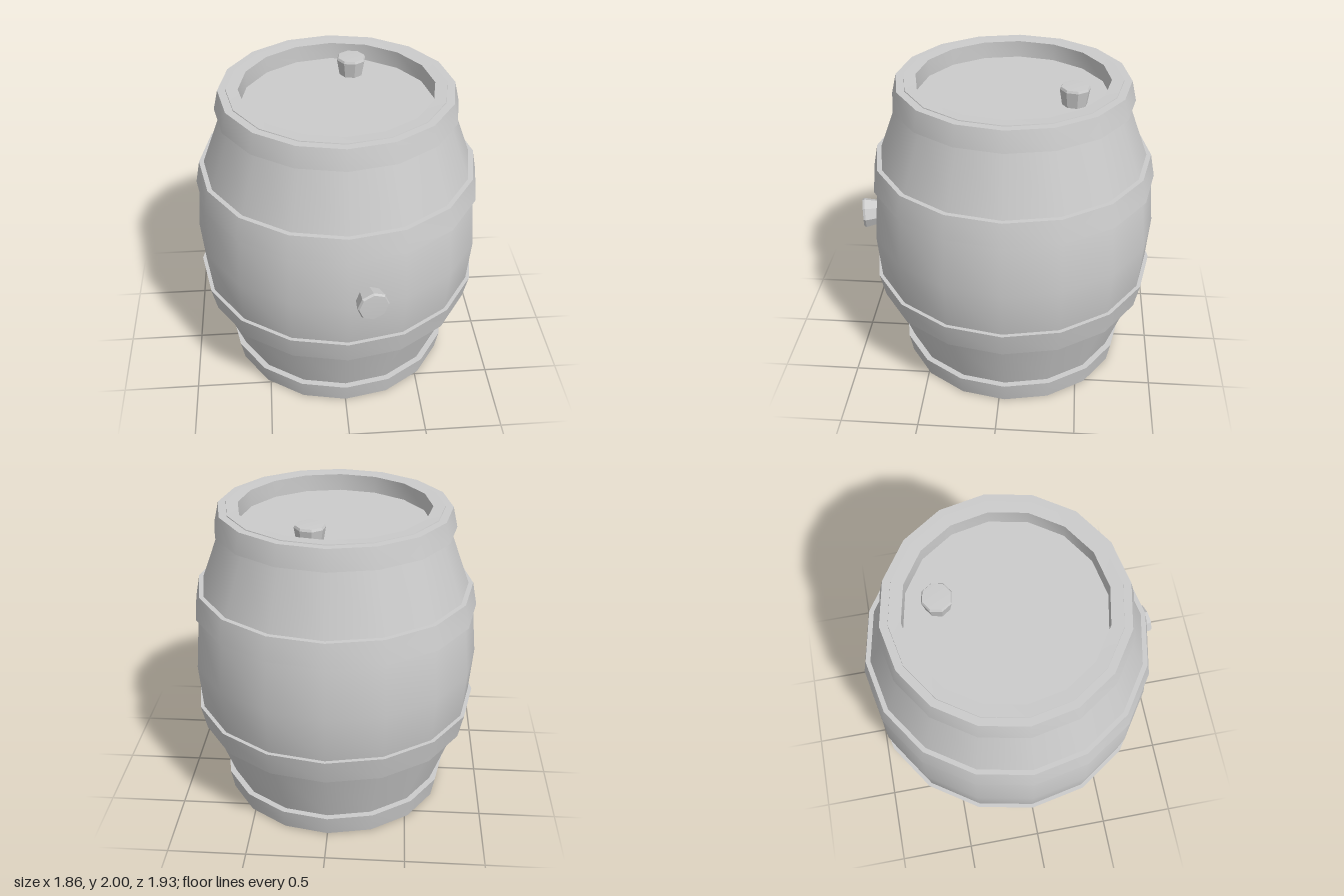
import * as THREE from 'three';
import { toCreasedNormals } from 'three/addons/utils/BufferGeometryUtils.js';

const material = new THREE.MeshStandardMaterial({ color: 0xcccccc });

// Revolve [radius, y] points listed counter-clockwise (up along the outside)
function turned(name, points, sides) {
  const profile = points.map(([r, y]) => new THREE.Vector2(r, y));
  const geometry = toCreasedNormals(new THREE.LatheGeometry(profile, sides), 0.6);
  const mesh = new THREE.Mesh(geometry, material);
  mesh.name = name;
  return mesh;
}

// Tapered stopper with a slightly domed face, its face centre at the origin
function bung(name, radius, length) {
  return turned(name, [
    [0, -length], [radius * 0.8, -length], [radius, -0.018], [radius * 0.92, -0.004], [0, 0],
  ], 8);
}

export function createModel() {
  const model = new THREE.Group();
  model.name = 'barrel';

  const cask = new THREE.Group();
  cask.name = 'cask';
  cask.position.z = -0.037;
  model.add(cask);

  // Bulging staves with a recessed head at each end
  cask.add(turned('staves', [
    [0, 0.11], [0.605, 0.11], [0.605, 0.003], [0.68, 0],
    [0.72, 0.14], [0.86, 0.535], [0.905, 0.7], [0.928, 1.0],
    [0.895, 1.33], [0.855, 1.485], [0.715, 1.86],
    [0.68, 1.993], [0.605, 1.99], [0.605, 1.88], [0, 1.88],
  ], 16));

  // Hoops: bottom y, bottom radius, top y, top radius
  const hoops = [
    ['bottomHoop', 0.005, 0.735, 0.14, 0.76],
    ['lowerHoop', 0.535, 0.895, 0.7, 0.93],
    ['upperHoop', 1.335, 0.915, 1.485, 0.885],
    ['topHoop', 1.86, 0.76, 1.988, 0.73],
  ];
  for (const [name, y0, r0, y1, r1] of hoops) {
    cask.add(turned(name, [[r0 - 0.06, y0], [r0, y0], [r1, y1], [r1 - 0.06, y1]], 16));
  }

  // Stopper standing on the top head
  const topBung = bung('topBung', 0.095, 0.13);
  topBung.position.set(0.12, 2, -0.42);
  topBung.rotation.y = 0.2;
  model.add(topBung);

  // Stopper in the front, square to the facet it sits on
  const frontBung = bung('frontBung', 0.1, 0.11);
  frontBung.rotation.set(Math.PI / 2, 0, -0.22);
  frontBung.position.set(0.143, 1.05, 0.95);
  model.add(frontBung);

  return model;
}
